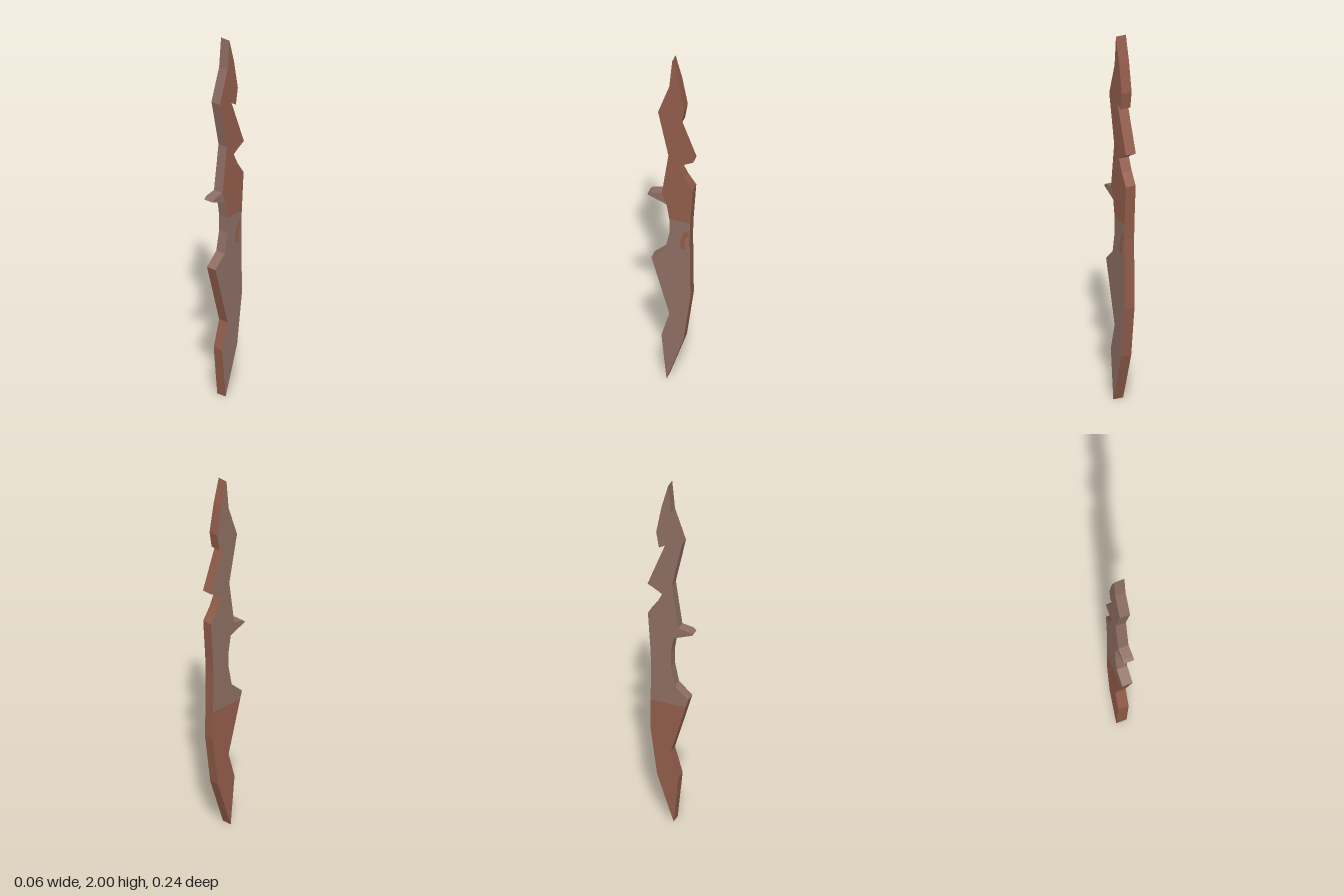
import * as THREE from 'three';

const T = 0.028; // half thickness

// Outline as [z, y]: front edge from tip to foot, then back edge upwards
const frontUpper = [[-0.01, 2], [0.005, 1.84], [0.065, 1.665], [0.01, 1.405], [0.045, 1.16]];
const spur = [[0.045, 1.16], [0.105, 1.15], [0.122, 1.135], [0.02, 1.095]];
const grip = [[0.02, 1.095], [0.005, 1.005]];
const belly = [[0.005, 1.005], [0.005, 0.92], [0.027, 0.81], [0.1, 0.745]];
const frontCut = [0.087, 0.7];
const frontLower = [[0.1, 0.745], frontCut, [0.005, 0.414], [0.047, 0.27], [0.02, 0]];
const backLower = [[0.02, 0], [-0.07, 0.265], [-0.107, 0.54], [-0.105, 0.7]];
const backMiddle = [[-0.105, 0.7], [-0.103, 0.92], [-0.106, 1.005]];
const backUpper = [[-0.106, 1.005], [-0.12, 1.215], [-0.075, 1.28], [-0.043, 1.345], [-0.075, 1.365],
  [-0.122, 1.39], [-0.027, 1.64], [-0.06, 1.62], [-0.075, 1.71], [-0.045, 1.87], [-0.01, 2]];

// Joins runs of points, dropping the shared ends
function join(...runs) {
  const all = runs.flat();
  return all.filter((p, i) => {
    const q = all[(i + 1) % all.length];
    return p[0] !== q[0] || p[1] !== q[1];
  });
}

// Flat cheek facing +x (side 1) or -x (side -1)
function cheek(points, side, x = T) {
  const shape = new THREE.Shape(points.map(([z, y]) => new THREE.Vector2(-side * z, y)));
  return new THREE.ShapeGeometry(shape).rotateY(side * Math.PI / 2).translate(side * x, 0, 0);
}

// Strip of flat facets running across the thickness
function rim(...runs) {
  const pos = [];
  for (const run of runs) {
    for (let i = 0; i < run.length - 1; i++) {
      const [az, ay] = run[i], [bz, by] = run[i + 1];
      pos.push(-T, ay, az, -T, by, bz, T, by, bz, -T, ay, az, T, by, bz, T, ay, az);
    }
  }
  const g = new THREE.BufferGeometry();
  g.setAttribute('position', new THREE.Float32BufferAttribute(pos, 3));
  g.computeVertexNormals();
  return g;
}

export function createModel() {
  const greyBrown = new THREE.MeshStandardMaterial({ name: 'greyBrown', color: 0x8d6e63 });
  const redBrown = new THREE.MeshStandardMaterial({ name: 'redBrown', color: 0x925d4b });
  const model = new THREE.Group();
  model.name = 'carvedBlade';
  const add = (name, geometry, material) => {
    const mesh = new THREE.Mesh(geometry, material);
    mesh.name = name;
    model.add(mesh);
  };

  // Left cheek (+x): red above the grip, grey below
  add('leftUpperCheek', cheek(join(frontUpper, grip, backUpper), 1), redBrown);
  add('leftLowerCheek', cheek(join(belly, frontLower, backLower, backMiddle), 1), greyBrown);
  add('leftSpurCheek', cheek(spur, 1), greyBrown);

  // Worn red patch near the back of the grip
  add('wornPatch', cheek([[-0.09, 0.955], [-0.07, 0.94], [-0.05, 0.87], [-0.056, 0.835],
    [-0.08, 0.835], [-0.078, 0.89], [-0.1, 0.93]], 1, T + 0.001), redBrown);

  // Right cheek (-x): grey above, red at the foot
  add('rightUpperCheek', cheek(join(frontUpper, spur, grip, belly, [frontCut], backMiddle, backUpper), -1), greyBrown);
  add('rightLowerCheek', cheek(join(frontLower.slice(1), backLower), -1), redBrown);

  // Edges
  add('frontUpperEdge', rim(frontUpper, spur, grip, belly), greyBrown);
  add('frontLowerEdge', rim(frontLower), redBrown);
  add('backEdge', rim(backLower, backMiddle, backUpper), redBrown);
  return model;
}
